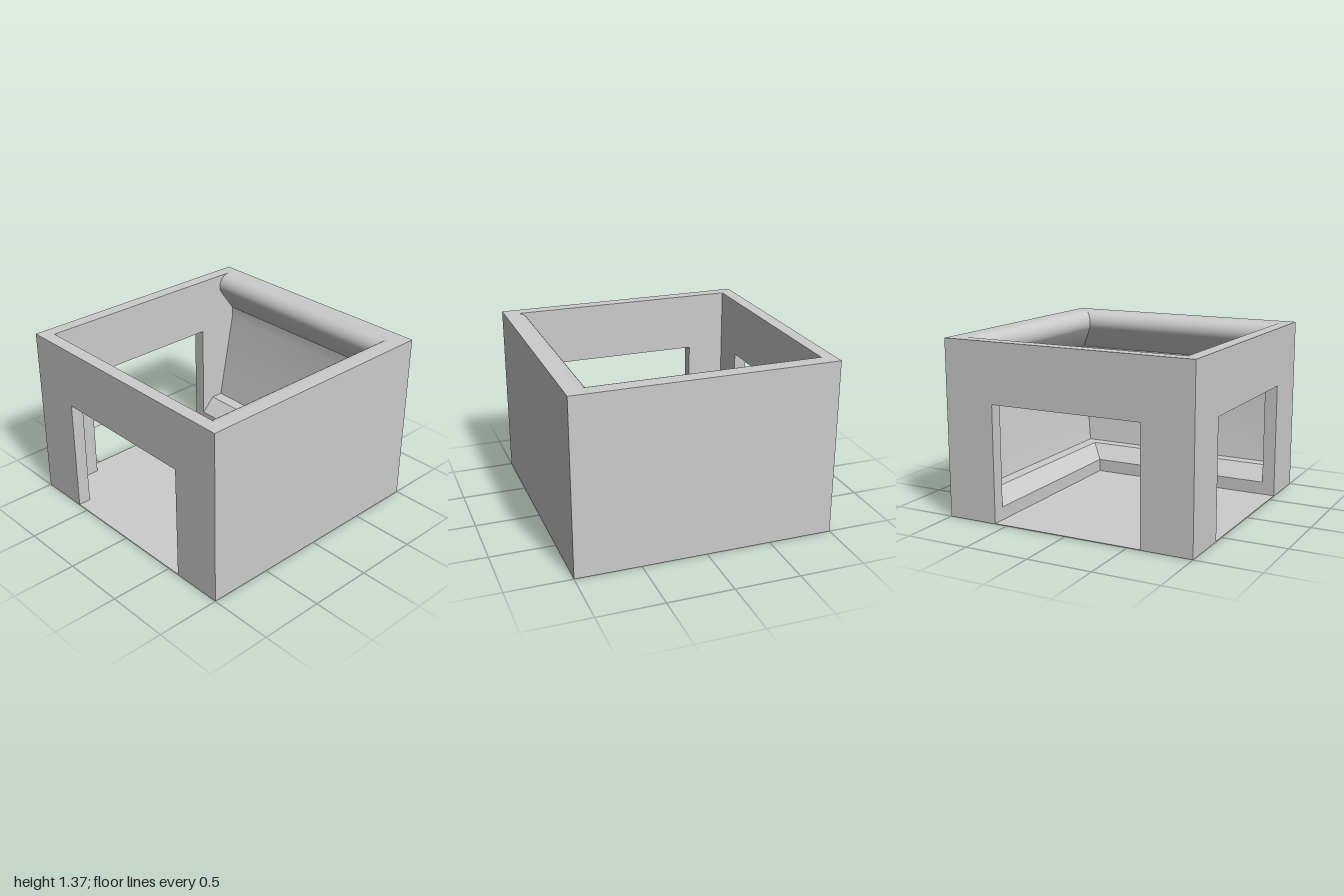
import * as THREE from 'three';
import { toCreasedNormals } from 'three/addons/utils/BufferGeometryUtils.js';

const H = 1.365, T = 0.1, INNER = 0.9;

// Plain wall with a central doorway, drawn in XY and extruded by the wall thickness
function doorwayWall(width) {
  const w = width / 2, door = 0.6, doorTop = 0.905;
  const shape = new THREE.Shape([
    [-w, 0], [-door, 0], [-door, doorTop], [door, doorTop],
    [door, 0], [w, 0], [w, H], [-w, H],
  ].map(([x, y]) => new THREE.Vector2(x, y)));
  return new THREE.ExtrudeGeometry(shape, { depth: T, bevelEnabled: false });
}

// Moulded wall section: [distance from centre, height]
function wallProfile() {
  const p = [[1, 0], [1, H], [INNER, H]];
  // rounded coping, turning slightly under
  for (let i = 1; i <= 12; i++) {
    const a = Math.PI / 2 + (i / 12) * (Math.PI * 0.66);
    p.push([INNER + 0.1 * Math.cos(a), H - 0.1 + 0.1 * Math.sin(a)]);
  }
  // undercut, recessed band, leaning panel and bench
  p.push([0.95, 1.03], [0.95, 0.94], [0.81, 0.22], [0.71, 0.22], [0.6, 0.105], [0.6, 0]);
  return p;
}

// Sweep the section along two walls that meet in a mitred corner
function mouldedWalls() {
  const profile = wallProfile();
  const sections = [
    profile.map(([d, y]) => [-INNER, y, d]),
    profile.map(([d, y]) => [d, y, d]),
    profile.map(([d, y]) => [d, y, -INNER]),
  ];
  const pos = [];
  for (let s = 0; s < 2; s++) {
    const a = sections[s], b = sections[s + 1];
    for (let i = 0; i < profile.length; i++) {
      const j = (i + 1) % profile.length;
      pos.push(...a[i], ...b[i], ...a[j], ...b[i], ...b[j], ...a[j]);
    }
  }
  const g = new THREE.BufferGeometry();
  g.setAttribute('position', new THREE.Float32BufferAttribute(pos, 3));
  return toCreasedNormals(g, 0.4);
}

export function createModel() {
  const model = new THREE.Group();
  model.name = 'openRoom';
  const plaster = new THREE.MeshStandardMaterial({ color: 0xcccccc });
  plaster.name = 'pale grey plaster';

  const add = (name, geometry) => {
    const mesh = new THREE.Mesh(geometry, plaster);
    mesh.name = name;
    model.add(mesh);
    return mesh;
  };

  // Two walls with doorways
  add('backDoorwayWall', doorwayWall(2)).position.z = -1;
  const side = add('rightDoorwayWall', doorwayWall(2));
  side.rotation.y = Math.PI / 2;
  side.position.x = -1;

  // Front and left walls with coping, leaning panel and bench
  add('mouldedFrontAndLeftWalls', mouldedWalls());

  // Thin floor reaching through both doorways
  const floor = add('floor', new THREE.BoxGeometry(1.7, 0.004, 1.7));
  floor.position.set(-0.15, 0.002, -0.15);

  return model;
}
